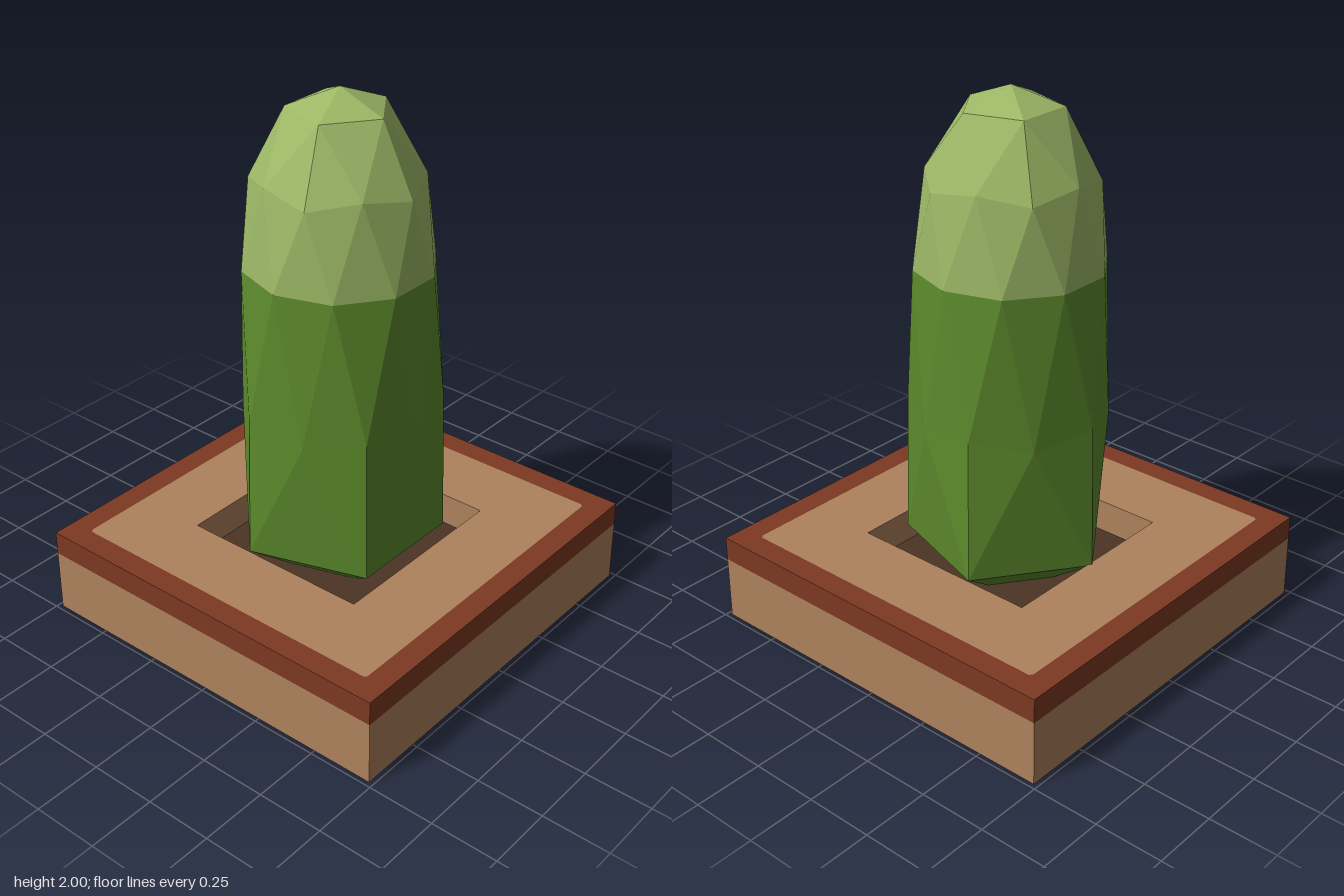
import * as THREE from 'three';

const mat = (name, color, extra = {}) => {
  const m = new THREE.MeshStandardMaterial({ color, ...extra });
  m.name = name;
  return m;
};

// Square slab with a square hole, lying flat between two heights
function squareFrame(half, holeHalf, y0, y1, cut = 0) {
  const square = (h, c) => [[h, -h + c], [h, h - c], [h - c, h], [-h + c, h], [-h, h - c], [-h, -h + c], [-h + c, -h], [h - c, -h]]
    .map(([x, y]) => new THREE.Vector2(x, y));
  const shape = new THREE.Shape(square(half, cut));
  shape.holes.push(new THREE.Path(square(holeHalf, half > 0.7 && holeHalf > 0.6 ? 0.01 : 0).reverse()));
  const g = new THREE.ExtrudeGeometry(shape, { depth: y1 - y0, bevelEnabled: false });
  return g.rotateX(-Math.PI / 2).translate(0, y0, 0);
}

// Flat-faced geometry from triangles, each turned to face away from the centre
function facets(triangles) {
  const centre = new THREE.Vector3(0, 1, 0);
  const points = [];
  for (const [a, b, c] of triangles) {
    const n = b.clone().sub(a).cross(c.clone().sub(a));
    const out = a.clone().add(b).add(c).divideScalar(3).sub(centre);
    points.push(...(n.dot(out) > 0 ? [a, b, c] : [a, c, b]));
  }
  const g = new THREE.BufferGeometry().setFromPoints(points);
  g.computeVertexNormals();
  return g;
}

// Stretched twice-divided icosahedron, split at its ten-sided middle ring
function plantGeometries() {
  const ring = (count, r, y, start) => (i) => {
    const a = THREE.MathUtils.degToRad(start + (360 / count) * i);
    return new THREE.Vector3(r * Math.cos(a), y, r * Math.sin(a));
  };
  const top = new THREE.Vector3(0, 2, 0), bottom = new THREE.Vector3(0, 0.06, 0);
  const A = ring(5, 0.18, 1.93, 0);
  const U = ring(5, 0.305, 1.68, 0), M = ring(5, 0.29, 1.71, 36);
  const E = ring(10, 0.34, 1.38, 18);
  const L = ring(5, 0.367, 0.86, 36), N = ring(5, 0.345, 0.82, 0);
  const B = ring(5, 0.38, 0.325, 36);
  const upper = [], lower = [];
  for (let k = 0; k < 5; k++) {
    const j = 2 * k;
    upper.push(
      [top, A(k), A(k + 1)], [A(k), U(k), M(k)], [A(k), M(k), A(k + 1)], [A(k + 1), M(k), U(k + 1)],
      [U(k), E(j), M(k)], [M(k), E(j), E(j + 1)], [M(k), E(j + 1), U(k + 1)], [U(k), E(j - 1), E(j)]);
    lower.push(
      [L(k), E(j), E(j + 1)], [N(k), E(j - 1), E(j)], [N(k), E(j), L(k)], [N(k + 1), L(k), E(j + 1)],
      [L(k), B(k), N(k)], [L(k), N(k + 1), B(k)], [N(k + 1), B(k), B(k + 1)], [bottom, B(k), B(k + 1)]);
  }
  return [facets(upper), facets(lower)];
}

export function createModel() {
  const group = new THREE.Group();
  group.name = 'plantOnBase';
  const tan = mat('tan', 0xae825d);
  const brick = mat('brick red', 0x7d3a22);
  const soil = mat('dark brown', 0x4b3424);
  const lightGreen = mat('light green', 0x9cb866, { flatShading: true });
  const green = mat('green', 0x5d8b2c, { flatShading: true });
  const add = (name, geometry, material) => {
    const mesh = new THREE.Mesh(geometry, material);
    mesh.name = name;
    group.add(mesh);
  };

  const half = 0.733, inner = 0.645, pit = 0.37, floorY = 0.2;

  // Base with a square pit
  add('baseBlock', new THREE.BoxGeometry(2 * half, floorY, 2 * half).translate(0, floorY / 2, 0), tan);
  add('baseUpper', squareFrame(half, pit, floorY, 0.24), tan);
  add('topPanel', squareFrame(inner, pit, 0.24, 0.33, 0.01), tan);
  add('border', squareFrame(half, inner, 0.24, 0.33), brick);
  add('pitFloor', new THREE.BoxGeometry(2 * pit, 0.006, 2 * pit).translate(0, floorY + 0.003, 0), soil);

  // Faceted plant
  const [tip, stem] = plantGeometries();
  add('plantTip', tip, lightGreen);
  add('plantStem', stem, green);
  return group;
}
